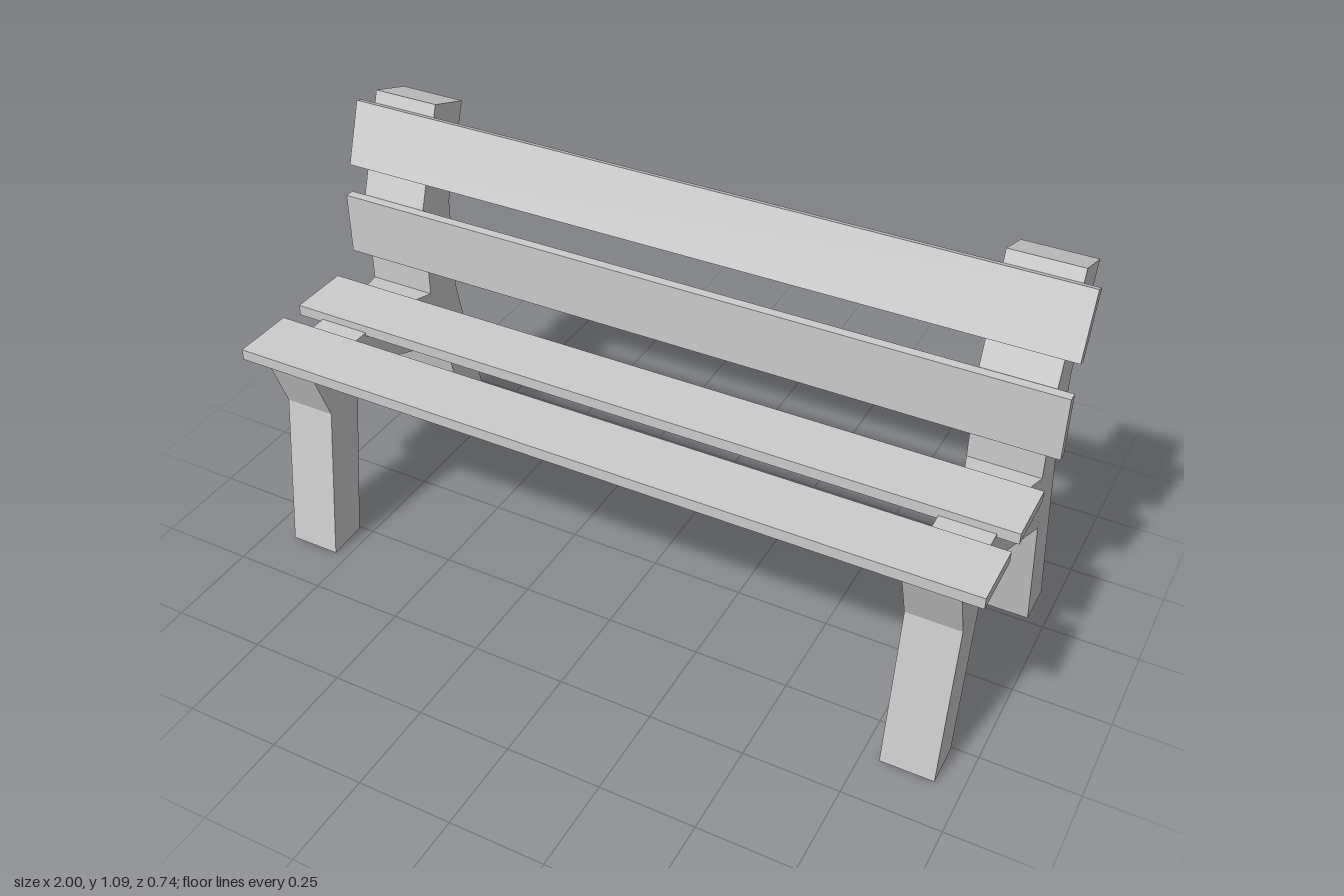
import * as THREE from 'three';

const material = new THREE.MeshStandardMaterial({ color: 0xcccccc, flatShading: true });

// Side outline of one end frame as [z, y], from the front foot up and over to the back
const outline = [
  [0.37, 0], [0.31, 0.43], [0.36, 0.57], [0.2, 0.58], [0.13, 0.58], [-0.035, 0.57],
  [-0.13, 0.56], [-0.13, 0.82], [-0.225, 1.085], [-0.345, 1.045], [-0.25, 0.79],
  [-0.25, 0.52], [-0.278, 0.39], [-0.37, 0.01], [-0.253, 0.01], [-0.18, 0.37],
  [0, 0.43], [0.195, 0.43], [0.26, 0.005],
];

// Cheek regions: front leg and seat rail, tapered joint, back post
const regions = [
  [0, 1, 2, 3, 4, 5, 16, 17, 18],
  [5, 6, 15, 16],
  [6, 7, 8, 9, 10, 11, 12, 13, 14, 15],
];

// The frame is wide at the back post and narrower in front of it
function frameGeometry() {
  const positions = [];
  const corner = (i, side) => {
    const [z, y] = outline[i];
    return [side * (z > -0.05 ? 0.069 : 0.093), y, z];
  };
  const triangle = (...corners) => corners.forEach((c) => positions.push(...c));

  // Cheeks
  for (const region of regions) {
    const contour = region.map((i) => new THREE.Vector2(...outline[i]));
    for (const face of THREE.ShapeUtils.triangulateShape(contour, [])) {
      const [a, b, c] = face.map((k) => region[k]);
      triangle(corner(a, -1), corner(b, -1), corner(c, -1));
      triangle(corner(a, 1), corner(c, 1), corner(b, 1));
    }
  }
  // Rim around the outline
  outline.forEach((_, i) => {
    const j = (i + 1) % outline.length;
    triangle(corner(i, -1), corner(i, 1), corner(j, 1));
    triangle(corner(i, -1), corner(j, 1), corner(j, -1));
  });

  const geometry = new THREE.BufferGeometry();
  geometry.setAttribute('position', new THREE.Float32BufferAttribute(positions, 3));
  geometry.computeVertexNormals();
  return geometry;
}

export function createModel() {
  const bench = new THREE.Group();
  bench.name = 'bench';

  // End frames
  const frame = frameGeometry();
  for (const [name, x] of [['leftFrame', 0.864], ['rightFrame', -0.856]]) {
    const mesh = new THREE.Mesh(frame, material);
    mesh.name = name;
    mesh.position.x = x;
    bench.add(mesh);
  }

  // Planks: name, height, depth, centre x, y, z, tilt
  const planks = [
    ['frontSeatPlank', 0.03, 0.17, -0.007, 0.586, 0.285, 0],
    ['rearSeatPlank', 0.03, 0.17, -0.007, 0.586, 0.049, 0],
    ['lowerBackPlank', 0.171, 0.026, 0.004, 0.735, -0.114, 0],
    ['upperBackPlank', 0.173, 0.026, 0.004, 0.976, -0.172, -0.35],
  ];
  for (const [name, height, depth, x, y, z, tilt] of planks) {
    const plank = new THREE.Mesh(new THREE.BoxGeometry(1.986, height, depth), material);
    plank.name = name;
    plank.position.set(x, y, z);
    plank.rotation.x = tilt;
    bench.add(plank);
  }
  return bench;
}
